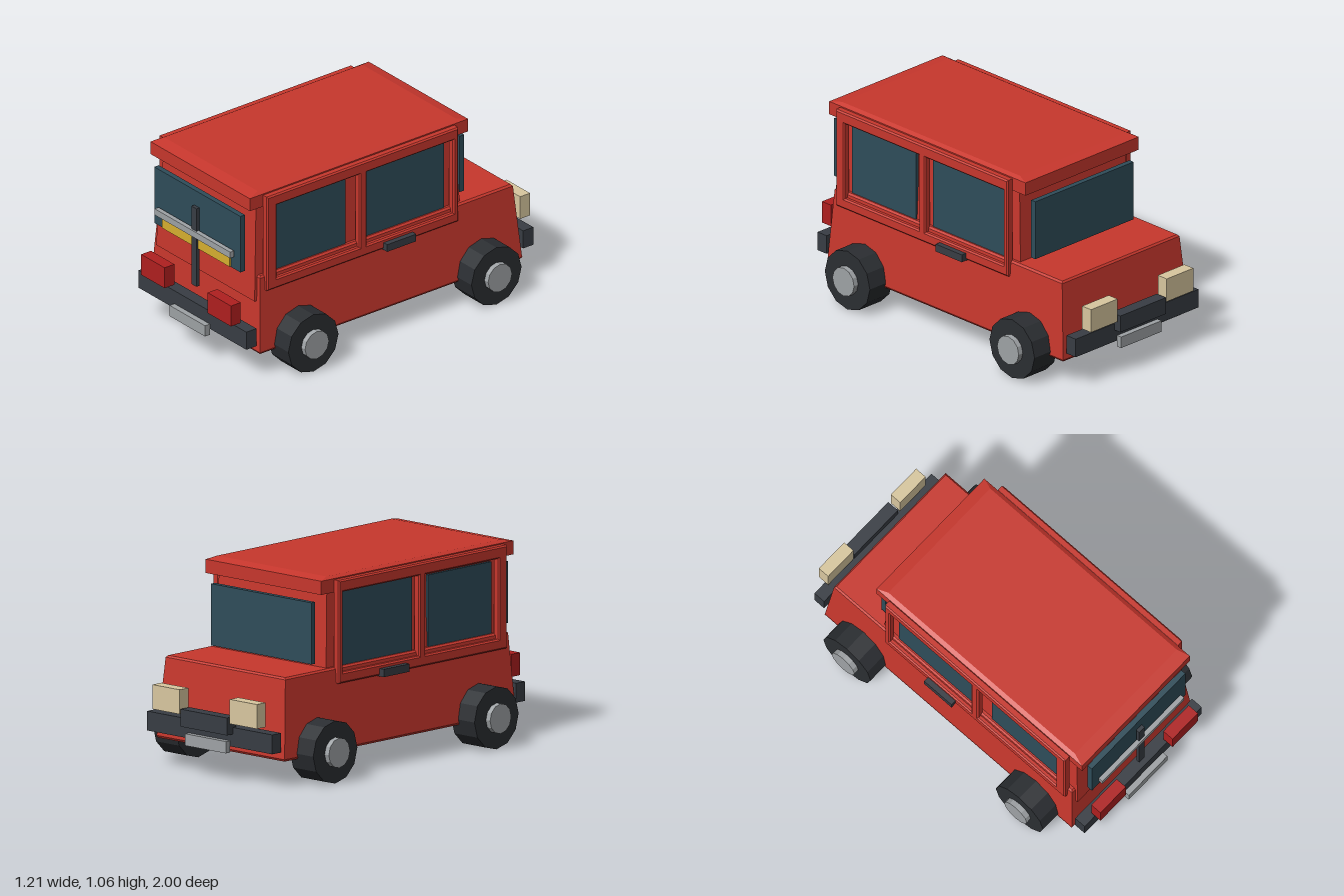
import * as THREE from 'three';

const mat = (color) => new THREE.MeshStandardMaterial({ color, flatShading: true });

export function createModel() {
  const car = new THREE.Group();
  car.name = 'car';
  const red = mat(0xc8372d), dark = mat(0x383d44), tyreMat = mat(0x2b2e32), grey = mat(0x9fa3a6);
  const glass = mat(0x2f4d5a), lampRed = mat(0xb01f1f), cream = mat(0xd9c8a0), yellow = mat(0xd8b030);

  const add = (name, geometry, material) => {
    const mesh = new THREE.Mesh(geometry, material);
    mesh.name = name;
    car.add(mesh);
    return mesh;
  };

  // Box given by its extents on each axis
  const block = (name, material, [x0, x1], [y0, y1], [z0, z1]) => {
    const g = new THREE.BoxGeometry(x1 - x0, y1 - y0, z1 - z0);
    g.translate((x0 + x1) / 2, (y0 + y1) / 2, (z0 + z1) / 2);
    return add(name, g, material);
  };

  // Box with different footprints at bottom and top: [halfWidth, zBack, zFront]
  const tapered = (name, material, y0, y1, low, high) => {
    const g = new THREE.BoxGeometry(1, 1, 1);
    const p = g.attributes.position;
    for (let i = 0; i < p.count; i++) {
      const top = p.getY(i) > 0;
      const [w, zMin, zMax] = top ? high : low;
      p.setXYZ(i, Math.sign(p.getX(i)) * w, top ? y1 : y0, p.getZ(i) > 0 ? zMax : zMin);
    }
    g.computeVertexNormals();
    return add(name, g, material);
  };

  // Body shell, cabin and roof
  tapered('bodySill', red, 0.138, 0.15, [0.453, -0.865, 0.868], [0.462, -0.873, 0.876]);
  tapered('lowerBody', red, 0.15, 0.565, [0.46, -0.872, 0.875], [0.43, -0.835, 0.85]);
  tapered('hoodEdge', red, 0.565, 0.575, [0.43, -0.835, 0.85], [0.42, -0.826, 0.84]);
  tapered('cabin', red, 0.43, 0.98, [0.412, -0.51, 0.872], [0.386, -0.475, 0.842]);
  tapered('roof', red, 0.972, 1.045, [0.415, -0.548, 0.906], [0.415, -0.548, 0.906]);
  tapered('roofEdge', red, 1.045, 1.058, [0.415, -0.548, 0.906], [0.392, -0.485, 0.835]);

  // Side window frames with two openings, glass and a door handle on each side
  const rect = (path, z0, z1, y0, y1) =>
    path.moveTo(z0, y0).lineTo(z1, y0).lineTo(z1, y1).lineTo(z0, y1).closePath();
  const b = 0.008;
  const frameShape = rect(new THREE.Shape(), -0.82 + b, 0.455 - b, 0.49 + b, 1.04 - b);
  frameShape.holes.push(rect(new THREE.Path(), -0.755 - b, -0.205 + b, 0.548 - b, 0.975 + b));
  frameShape.holes.push(rect(new THREE.Path(), -0.155 - b, 0.46 - 0.04 + b, 0.548 - b, 0.975 + b));
  const frameGeo = new THREE.ExtrudeGeometry(frameShape, {
    depth: 0.045 - 2 * b, bevelEnabled: true, bevelSize: b, bevelThickness: b, bevelSegments: 1,
  });
  frameGeo.rotateY(Math.PI / 2).translate(0.41 + b, 0, 0);
  // Shape axis runs along -z, so the left copy is mirrored by a half turn of the flipped shape
  const mirrorX = (g) => {
    const m = g.clone().applyMatrix4(new THREE.Matrix4().makeScale(-1, 1, 1));
    const p = m.attributes.position;
    for (let i = 0; i < p.count; i += 3) {
      const a = new THREE.Vector3().fromBufferAttribute(p, i);
      const c = new THREE.Vector3().fromBufferAttribute(p, i + 2);
      p.setXYZ(i, c.x, c.y, c.z);
      p.setXYZ(i + 2, a.x, a.y, a.z);
    }
    m.computeVertexNormals();
    return m;
  };
  add('leftWindowFrame', frameGeo, red);
  add('rightWindowFrame', mirrorX(frameGeo.index ? frameGeo.toNonIndexed() : frameGeo), red);

  for (const s of [-1, 1]) {
    const side = s > 0 ? 'left' : 'right';
    const span = (a, c) => (s > 0 ? [a, c] : [-c, -a]);
    block(side + 'RearWindow', glass, span(0.395, 0.412), [0.57, 0.957], [0.265, 0.742]);
    block(side + 'DoorWindow', glass, span(0.395, 0.412), [0.57, 0.968], [-0.39, 0.142]);
    block(side + 'Handle', dark, span(0.43, 0.485), [0.485, 0.527], [-0.147, 0.047]);
    block(side + 'TailLamp', lampRed, span(0.18, 0.375), [0.31, 0.43], [0.935, 1]);
    block(side + 'Headlamp', cream, span(0.18, 0.375), [0.32, 0.45], [-0.993, -0.927]);

    // Wheels with hubs
    for (const z of [0.61, -0.61]) {
      const end = z > 0 ? 'Rear' : 'Front';
      const wheel = new THREE.CylinderGeometry(0.167, 0.167, 0.165, 12).rotateZ(Math.PI / 2);
      add(side + end + 'Tyre', wheel, tyreMat).position.set(s * 0.4925, 0.168, z);
      const hub = new THREE.CylinderGeometry(0.08, 0.08, 0.18, 12).rotateZ(Math.PI / 2);
      add(side + end + 'Hub', hub, grey).position.set(s * 0.515, 0.168, z);
    }
  }

  // Windscreens standing off the cabin
  block('rearWindow', glass, [-0.36, 0.36], [0.597, 0.925], [0.895, 0.925]);
  block('windscreen', glass, [-0.36, 0.36], [0.597, 0.925], [-0.565, -0.535]);

  // Tail rack: post, crossbar and panel
  block('rackPanel', yellow, [-0.283, 0.283], [0.602, 0.672], [0.922, 0.936]);
  block('rackPost', dark, [-0.021, 0.021], [0.383, 0.84], [0.928, 0.948]);
  block('rackCrossbar', grey, [-0.315, 0.315], [0.672, 0.708], [0.932, 0.958]);

  // Bumpers, plates and winch
  block('rearBumper', dark, [-0.45, 0.45], [0.19, 0.293], [0.89, 0.957]);
  block('frontBumper', dark, [-0.45, 0.45], [0.19, 0.293], [-0.955, -0.887]);
  block('rearPlate', grey, [-0.148, 0.148], [0.157, 0.22], [0.96, 0.992]);
  block('frontPlate', grey, [-0.148, 0.148], [0.157, 0.22], [-0.987, -0.957]);
  block('winch', dark, [-0.167, 0.167], [0.257, 0.35], [-1, -0.932]);

  return car;
}
